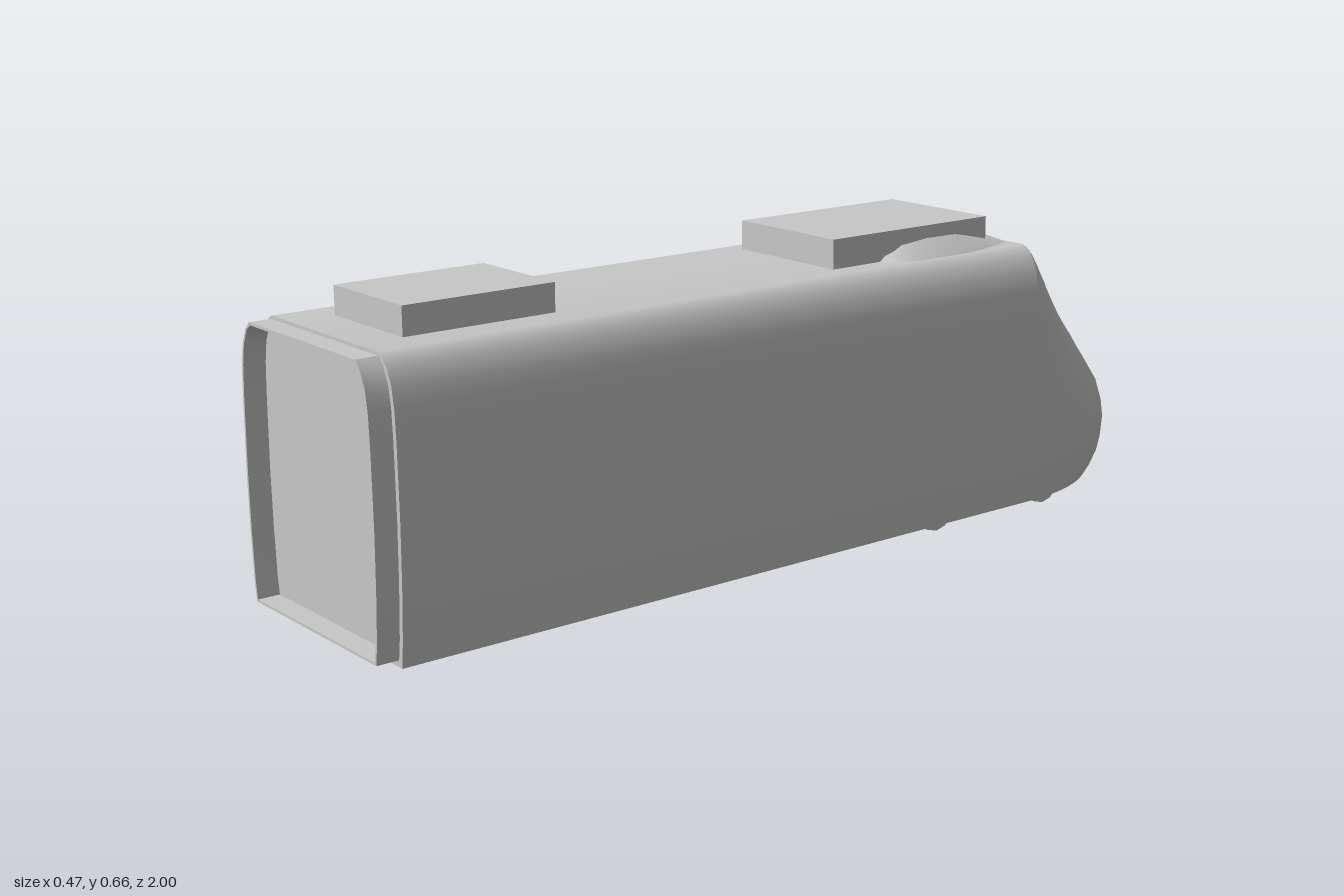
import * as THREE from 'three';
import { toCreasedNormals } from 'three/addons/utils/BufferGeometryUtils.js';

// Half of the car body section: [half width, height], bottom to top
const PROFILE = [
  [0.225, 0.047], [0.23, 0.1], [0.235, 0.2], [0.237, 0.31], [0.235, 0.45], [0.232, 0.51],
  [0.225, 0.55], [0.211, 0.58], [0.197, 0.595], [0.185, 0.601],
];

function halfWidth(y) {
  for (let i = 1; i < PROFILE.length; i++) {
    const [w0, y0] = PROFILE[i - 1], [w1, y1] = PROFILE[i];
    if (y <= y1) return w0 + (w1 - w0) * (y - y0) / (y1 - y0);
  }
  return PROFILE[PROFILE.length - 1][0];
}

// Mirrored closed ring at depth z, from +x bottom over the top to -x bottom
function ring(half, z) {
  return [
    ...half.map(([x, y]) => [x, y, z]),
    ...[...half].reverse().map(([x, y]) => [-x, y, z]),
  ];
}

// Skin closed rings of equal length, with optional end caps
function loft(rings, capStart, capEnd, crease = 0.6) {
  const n = rings[0].length, last = (rings.length - 1) * n, index = [];
  for (let i = 0; i < rings.length - 1; i++) {
    for (let j = 0; j < n; j++) {
      const k = (j + 1) % n;
      const a = i * n + j, b = i * n + k, c = b + n, d = a + n;
      index.push(a, b, c, a, c, d);
    }
  }
  for (let j = 1; j < n - 1; j++) {
    if (capStart) index.push(0, j + 1, j);
    if (capEnd) index.push(last, last + j, last + j + 1);
  }
  const geometry = new THREE.BufferGeometry();
  geometry.setAttribute('position', new THREE.Float32BufferAttribute(rings.flat(2), 3));
  geometry.setIndex(index);
  return toCreasedNormals(geometry, crease);
}

export function createModel() {
  const model = new THREE.Group();
  model.name = 'trainCar';
  const grey = new THREE.MeshStandardMaterial({ color: 0xc8c8c8 });
  grey.name = 'grey';

  function add(name, geometry, x = 0, y = 0, z = 0) {
    const mesh = new THREE.Mesh(geometry, grey);
    mesh.name = name;
    mesh.position.set(x, y, z);
    model.add(mesh);
    return mesh;
  }

  // Long body with a flat end wall
  add('body', loft([ring(PROFILE, -0.6), ring(PROFILE, 0.955)], false, true));

  // Thin collar standing out around the end wall
  const inset = (d) => PROFILE.map(([x, y]) => [x - d, Math.min(Math.max(y, 0.05 + d), 0.605 - d)]);
  const outer = inset(0.01), inner = inset(0.015);
  add('endCollar', loft([ring(outer, 0.95), ring(outer, 1), ring(inner, 1), ring(inner, 0.95)], false, false));

  // Streamlined nose: level slices, each half an ellipse of [height, length]
  const slices = [
    [0.047, 0.34], [0.065, 0.365], [0.09, 0.385], [0.12, 0.396], [0.16, 0.4], [0.2, 0.39],
    [0.25, 0.365], [0.31, 0.31], [0.37, 0.253], [0.42, 0.2], [0.47, 0.15], [0.52, 0.098],
    [0.555, 0.057], [0.58, 0.028], [0.594, 0.009], [0.601, 0],
  ];
  const noseRings = slices.map(([y, length]) => {
    const points = [];
    for (let i = 0; i <= 28; i++) {
      const t = Math.PI * i / 28;
      points.push([halfWidth(y) * Math.cos(t), y, -0.6 - length * Math.sin(t)]);
    }
    return points;
  });
  add('nose', loft(noseRings, true, false, 0.7));

  // Roof units
  add('smallRoofUnit', new THREE.BoxGeometry(0.233, 0.06, 0.32), 0, 0.627, 0.705);
  add('largeRoofUnit', new THREE.BoxGeometry(0.284, 0.06, 0.425), 0, 0.632, -0.3175);

  // Low fairing beneath the large unit: [z, half width, height]
  const fairing = [
    [-0.6, 0.15, 0], [-0.56, 0.16, 0.016], [-0.5, 0.175, 0.029], [-0.44, 0.185, 0.036],
    [-0.36, 0.185, 0.037], [-0.29, 0.18, 0.034], [-0.245, 0.165, 0.022], [-0.21, 0.14, 0],
  ];
  add('roofFairing', loft(fairing.map(([z, w, h]) => ring([
    [w, 0.598], [w - 0.02, 0.6 + h * 0.5], [w - 0.045, 0.6 + h],
  ], z)), true, true));

  // Small wheels showing under the floor
  const wheel = toCreasedNormals(new THREE.CylinderGeometry(0.05, 0.05, 0.016, 12).rotateZ(Math.PI / 2), 0.6);
  for (const x of [-0.135, 0.135]) {
    for (const z of [-0.405, -0.73]) add('wheel', wheel, x, 0.05, z);
  }
  return model;
}
